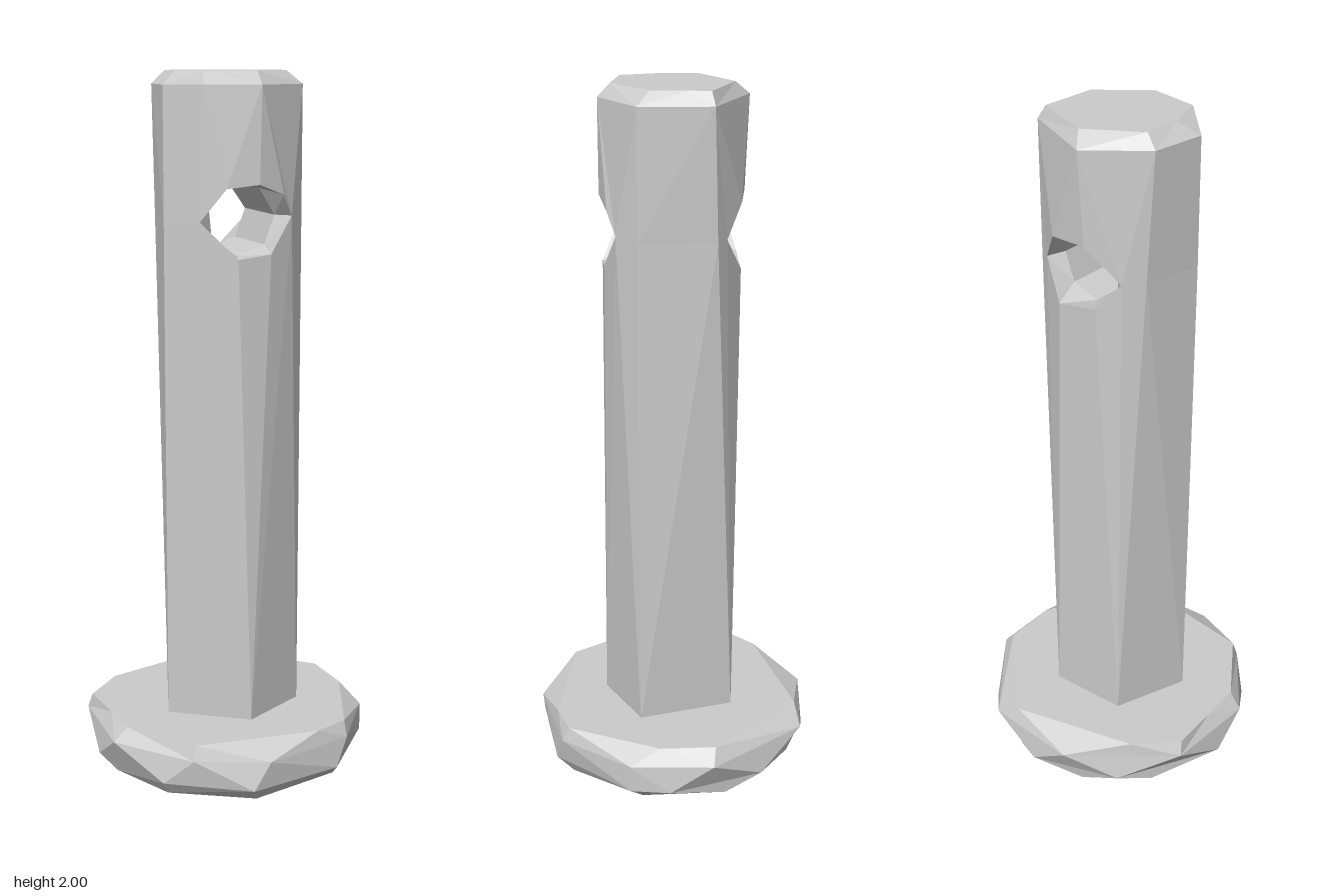
import * as THREE from 'three';

const HOLE_Y = 1.6;
const aroundY = (p) => Math.atan2(p[2], p[0]);
const aroundZ = (p) => Math.atan2(p[1] - HOLE_Y, p[0]);
const level = (y, points) => points.map(([x, z]) => [x, y, z]);

// Bridges two closed loops with triangles, walking both by angle
function bridge(out, loopA, loopB, angle) {
  const sort = (l) => [...l].sort((p, q) => angle(p) - angle(q));
  const a = sort(loopA), b = sort(loopB);
  const at = (l, i) => l[i % l.length];
  const turn = (l, i) => angle(at(l, i)) + Math.floor(i / l.length) * Math.PI * 2;
  let i = 0, j = 0;
  while (i < a.length || j < b.length) {
    const stepA = turn(a, i) + turn(a, i + 1) <= turn(b, j) + turn(b, j + 1);
    if (j >= b.length || (i < a.length && stepA)) {
      out.push(at(a, i), at(b, j), at(a, i + 1));
      i++;
    } else {
      out.push(at(a, i), at(b, j), at(b, j + 1));
      j++;
    }
  }
}

// Closes a horizontal loop with a fan
function cap(out, loop, up) {
  const l = [...loop].sort((p, q) => aroundY(p) - aroundY(q));
  for (let i = 1; i < l.length - 1; i++) {
    if (up) out.push(l[0], l[i + 1], l[i]);
    else out.push(l[0], l[i], l[i + 1]);
  }
}

function facetMesh(name, points) {
  const geometry = new THREE.BufferGeometry();
  geometry.setAttribute('position', new THREE.Float32BufferAttribute(points.flat(), 3));
  geometry.computeVertexNormals();
  const mesh = new THREE.Mesh(geometry, new THREE.MeshStandardMaterial({ color: 0xcccccc, flatShading: true }));
  mesh.name = name;
  return mesh;
}

// Wide disc with irregular chamfers
function createHead() {
  const rings = [
    level(0, [[0.1, -0.35], [0.33, -0.16], [0.35, 0.08], [0.22, 0.29], [-0.05, 0.365],
      [-0.27, 0.24], [-0.36, 0.05], [-0.3, -0.2], [-0.14, -0.335]]),
    level(0.04, [[0, -0.4], [0.29, -0.265], [0.4, 0], [0.39, 0.115], [0.21, 0.34],
      [-0.07, 0.4], [-0.29, 0.26], [-0.4, 0], [-0.25, -0.3]]),
    level(0.12, [[-0.12, -0.395], [0.165, -0.385], [0.39, -0.125], [0.39, 0.115], [0.25, 0.32],
      [-0.02, 0.4], [-0.22, 0.32], [-0.39, 0.115], [-0.385, -0.165]]),
    level(0.163, [[-0.27, -0.26], [0.09, -0.37], [0.35, -0.13], [0.36, 0.03], [0.25, 0.3],
      [0.15, 0.34], [-0.21, 0.31], [-0.35, 0.12], [-0.36, 0], [-0.375, -0.15]]),
  ];
  const out = [];
  cap(out, rings[0], false);
  for (let i = 0; i < 3; i++) bridge(out, rings[i], rings[i + 1], aroundY);
  cap(out, rings[3], true);
  return facetMesh('head', out);
}

// Faceted shank with a chamfered tip and a cross hole
function createShank() {
  const foot = level(0.16, [[0, 0.2], [0.19, 0.09], [0.1, -0.178], [-0.13, -0.16], [-0.205, 0.06]]);
  const shoulder = level(1.963, [[-0.04, -0.21], [0.185, -0.115], [0.19, 0.09], [0.025, 0.2],
    [-0.125, 0.155], [-0.21, 0.07], [-0.19, -0.085]]);
  const tip = level(2, [[-0.01, -0.17], [0.165, -0.105], [0.16, -0.04], [0.155, 0.055],
    [0.025, 0.165], [-0.12, 0.145], [-0.16, 0.03], [-0.155, -0.075]]);

  // Hole rims, split at their left and right ends
  const ends = [[0.135, 1.61, 0.15], [-0.135, 1.6, 0.15], [0.13, 1.6, -0.15], [-0.135, 1.6, -0.15]];
  const upper = [[0.1, 1.67, 0.175], [0.02, 1.7, 0.2], [-0.07, 1.69, 0.185],
    [0.07, 1.69, -0.19], [-0.05, 1.7, -0.2]];
  const lower = [[0.06, 1.51, 0.185], [-0.04, 1.5, 0.195], [0.05, 1.5, -0.19], [-0.07, 1.52, -0.18]];
  const sides = level(HOLE_Y, [[0.19, 0.09], [0.172, -0.125], [-0.21, 0.07], [-0.178, -0.1]]);

  const out = [];
  bridge(out, foot, [...ends, ...lower, ...sides], aroundY);
  bridge(out, [...ends, ...upper, ...sides], shoulder, aroundY);
  bridge(out, shoulder, tip, aroundY);
  cap(out, foot, false);
  cap(out, tip, true);

  // Hole lining with flared mouths
  const rim = [...ends, ...upper, ...lower];
  const bore = (z) => Array.from({ length: 7 }, (_, i) => {
    const t = (i / 7) * Math.PI * 2 + 0.1;
    return [0.1 * Math.cos(t), HOLE_Y + 0.1 * Math.sin(t), z];
  });
  const loops = [rim.filter((p) => p[2] < 0), bore(-0.11), bore(0.11), rim.filter((p) => p[2] > 0)];
  for (let i = 0; i < 3; i++) bridge(out, loops[i], loops[i + 1], aroundZ);
  return facetMesh('shank', out);
}

export function createModel() {
  const group = new THREE.Group();
  group.name = 'clevisPin';
  group.add(createHead(), createShank());
  return group;
}
